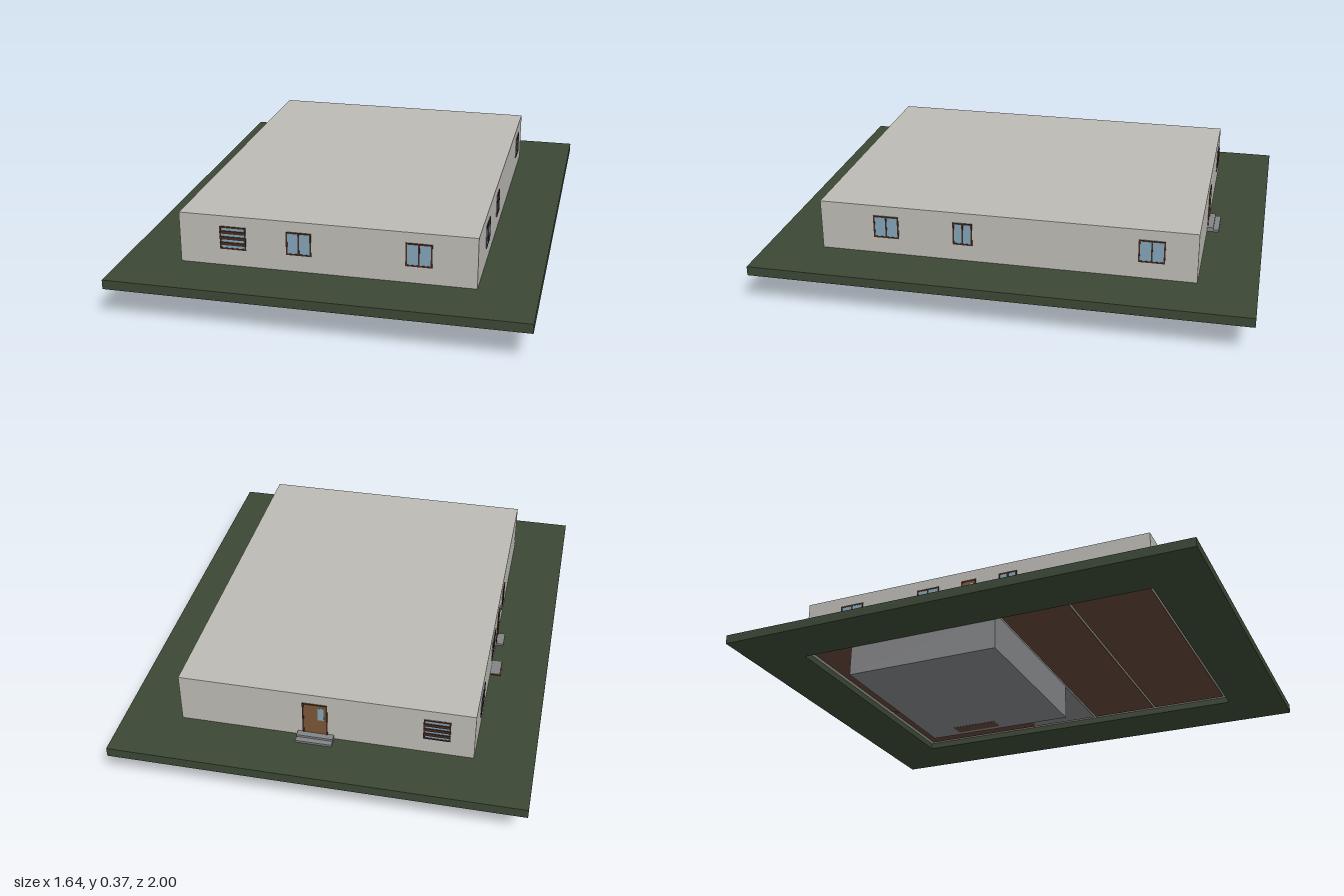
import * as THREE from 'three';

const mat = (name, color) => {
  const m = new THREE.MeshStandardMaterial({ color });
  m.name = name;
  return m;
};

export function createModel() {
  const plaster = mat('plaster', 0xbcbab4);
  const grass = mat('grass', 0x3b4735);
  const concrete = mat('concrete', 0x838486);
  const glass = mat('glass', 0x82a3b8);
  const frameWood = mat('frame wood', 0x46291d);
  const floorWood = mat('floor wood', 0x614636);
  const doorWood = mat('door wood', 0x7a5636);

  const model = new THREE.Group();
  model.name = 'house';

  // Box given by its extents
  const block = (name, material, x0, x1, y0, y1, z0, z1, parent = model) => {
    const mesh = new THREE.Mesh(new THREE.BoxGeometry(x1 - x0, y1 - y0, z1 - z0), material);
    mesh.position.set((x0 + x1) / 2, (y0 + y1) / 2, (z0 + z1) / 2);
    mesh.name = name;
    parent.add(mesh);
    return mesh;
  };

  const W = 0.587, D = 0.765;          // half width and depth of the house
  const ground = 0.163;

  // Lawn slab with an opening under the house
  const rect = (path, x, y) =>
    path.moveTo(-x, -y).lineTo(x, -y).lineTo(x, y).lineTo(-x, y).closePath();
  const lawnShape = rect(new THREE.Shape(), 0.82, 1);
  lawnShape.holes.push(rect(new THREE.Path(), W, D));
  const lawnGeo = new THREE.ExtrudeGeometry(lawnShape, { depth: 0.038, bevelEnabled: false });
  lawnGeo.rotateX(-Math.PI / 2);
  const lawn = new THREE.Mesh(lawnGeo, grass);
  lawn.position.y = ground - 0.038;
  lawn.name = 'lawn';
  model.add(lawn);

  // House body and basement
  block('houseBody', plaster, -W, W, 0.152, 0.37, -D, D);
  block('basement', concrete, -W, 0.185, 0, 0.152, -0.54, 0.115);
  block('stairOpening', floorWood, 0.1, 0.16, -0.001, 0.003, -0.4, -0.2);

  // Room floors seen from beneath, with wall lines left between them
  const rooms = [
    [-0.565, 0.14, -0.745, -0.55, floorWood],
    [0.15, 0.565, -0.745, -0.19, floorWood],
    [0.19, 0.565, -0.18, 0.115, concrete],
    [-0.565, 0.565, 0.125, 0.41, floorWood],
    [-0.565, 0.565, 0.42, 0.745, floorWood],
  ];
  rooms.forEach(([x0, x1, z0, z1, m]) => block('roomFloor', m, x0, x1, 0.148, 0.153, z0, z1));

  // Each wall is a group whose local +z points outward
  const wall = (name, x, z, turn) => {
    const g = new THREE.Group();
    g.name = name;
    g.position.set(x, 0, z);
    g.rotation.y = turn;
    model.add(g);
    return g;
  };
  const front = wall('frontOpenings', 0, D, 0);
  const back = wall('backOpenings', 0, -D, Math.PI);
  const left = wall('leftOpenings', W, 0, Math.PI / 2);
  const right = wall('rightOpenings', -W, 0, -Math.PI / 2);

  // Rectangular frame of four bars
  const frame = (g, u, w, y0, y1, t) => {
    const a = u - w / 2, b = u + w / 2;
    block('frameSide', frameWood, a, a + t, y0, y1, -0.003, 0.004, g);
    block('frameSide', frameWood, b - t, b, y0, y1, -0.003, 0.004, g);
    block('frameTop', frameWood, a, b, y1 - t, y1, -0.003, 0.004, g);
    block('frameBottom', frameWood, a, b, y0, y0 + t, -0.003, 0.004, g);
  };

  const addWindow = (g, u, w, louvred = false) => {
    const y0 = 0.232, y1 = 0.327;
    block('windowGlass', glass, u - w / 2, u + w / 2, y0, y1, -0.003, 0.002, g);
    frame(g, u, w, y0, y1, 0.006);
    if (!louvred) {
      block('mullion', frameWood, u - 0.003, u + 0.003, y0, y1, -0.003, 0.004, g);
      return;
    }
    for (let i = 1; i < 4; i++) {
      const y = y0 + (i * (y1 - y0)) / 4;
      block('louvre', frameWood, u - w / 2, u + w / 2, y - 0.006, y + 0.006, -0.003, 0.006, g);
    }
  };

  const addDoor = (g, u, w) => {
    block('door', doorWood, u - w / 2, u + w / 2, ground, 0.327, -0.003, 0.002, g);
    frame(g, u, w, ground, 0.327, 0.006);
    block('doorPane', glass, u + w * 0.12, u + w * 0.36, 0.25, 0.31, -0.003, 0.003, g);
  };

  addWindow(front, -0.37, 0.105, true);
  addWindow(front, -0.106, 0.1);
  addWindow(front, 0.363, 0.103);

  // Left wall: local x runs towards -z
  addWindow(left, -0.49, 0.105);
  addWindow(left, -0.172, 0.08);
  addWindow(left, 0.585, 0.105);

  // Right wall: local x runs towards +z
  addWindow(right, -0.55, 0.105);
  addWindow(right, -0.19, 0.1);
  addDoor(right, -0.005, 0.065);
  addWindow(right, 0.168, 0.08);

  // Back wall: local x runs towards -x
  addWindow(back, 0.44, 0.105, true);
  addDoor(back, -0.04, 0.1);

  // Doorsteps
  block('backLowerStep', concrete, -0.035, 0.11, ground, 0.172, -0.815, -D);
  block('backUpperStep', concrete, -0.035, 0.11, 0.172, 0.181, -0.792, -D);
  block('sideStep', concrete, -0.62, -W, ground, 0.172, -0.04, 0.035);

  // Framed light well beside the basement
  block('lightWellFrame', frameWood, -0.632, -W, ground, 0.165, -0.247, -0.15);
  block('lightWellCover', concrete, -0.626, -W, 0.164, 0.167, -0.242, -0.155);

  return model;
}
